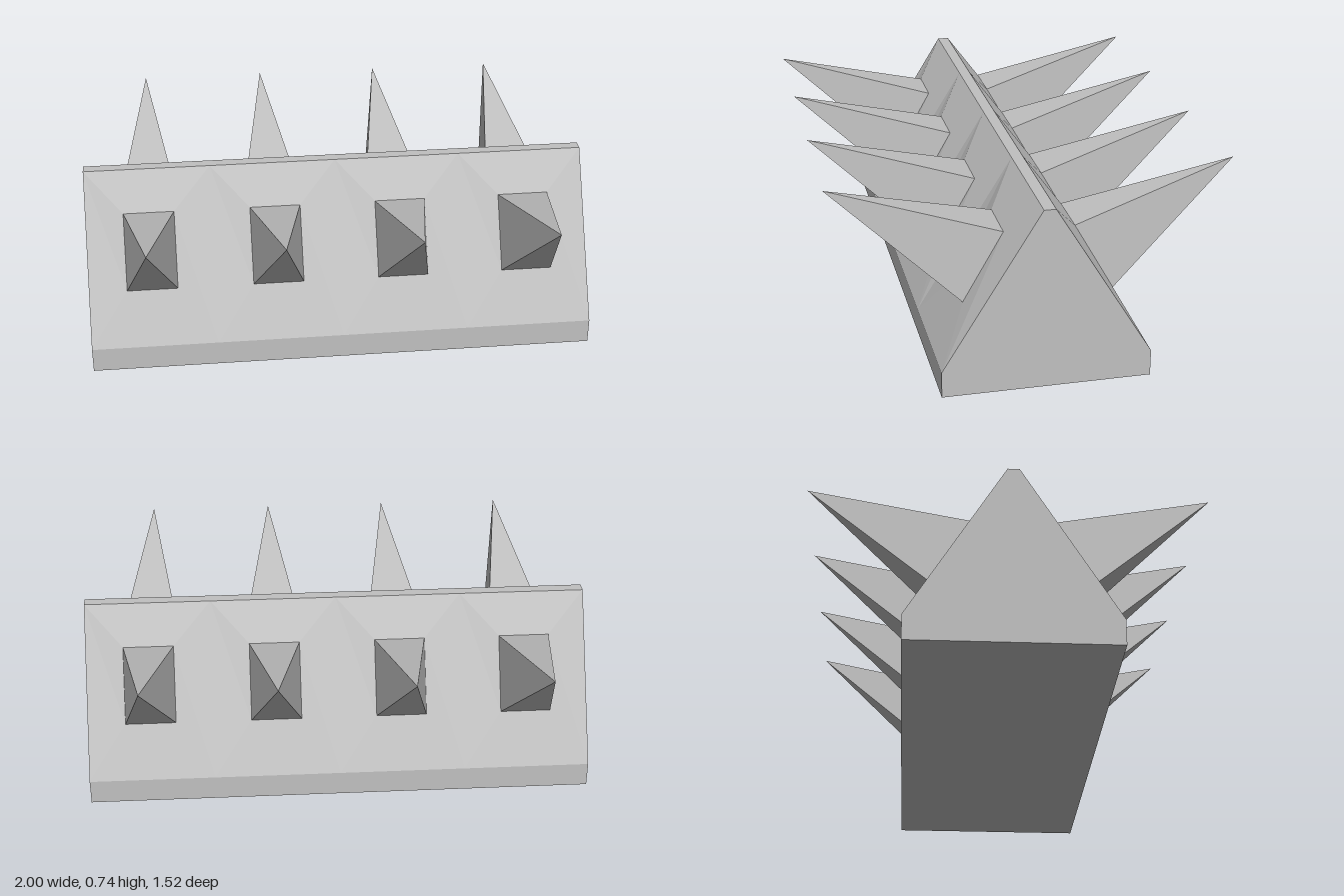
import * as THREE from 'three';

// Flat polygons, each a counter-clockwise list of [x, y, z] corners, split as fans
function polygons(faces) {
  const pos = [];
  for (const f of faces)
    for (let i = 1; i < f.length - 1; i++) pos.push(...f[0], ...f[i], ...f[i + 1]);
  const g = new THREE.BufferGeometry();
  g.setAttribute('position', new THREE.Float32BufferAttribute(pos, 3));
  g.computeVertexNormals();
  return g;
}

// Rectangle leaning back: half width, bottom and top height, bottom and top depth
const panel = (x, w, y0, z0, y1, z1) =>
  [[x - w, y0, z0], [x + w, y0, z0], [x + w, y1, z1], [x - w, y1, z1]];

export function createModel() {
  const model = new THREE.Group();
  model.name = 'spikedBarrier';
  const stone = new THREE.MeshStandardMaterial({ color: 0xc0c0c0 });
  stone.name = 'grey stone';

  const D = 0.39, LIP = 0.1, TOP = 0.7, RIDGE = 0.022;

  // Wedge body: base, lips, ridge and end caps
  const end = [[D, 0], [-D, 0], [-D, LIP], [-RIDGE, TOP], [RIDGE, TOP], [D, LIP]];
  const body = new THREE.Mesh(polygons([
    panel(0, 1, 0, -D, 0, D),
    panel(0, 1, TOP, RIDGE, TOP, -RIDGE),
    panel(0, 1, 0, D, LIP, D),
    panel(0, 1, 0, D, LIP, D).map(([x, y, z]) => [-x, y, -z]),
    end.map(([z, y]) => [1, y, z]),
    end.map(([z, y]) => [-1, y, -z]),
  ]), stone);
  body.name = 'body';
  model.add(body);

  // One slope cell swelling towards a spike root, and the spike itself
  const outer = panel(0, 0.25, LIP, D, TOP, RIDGE);
  const root = panel(0, 0.1, 0.297, 0.282, 0.562, 0.132);
  const tip = [0, 0.735, 0.76];
  const ring = [0, 1, 2, 3];
  const slopeGeo = polygons(ring.map(i => {
    const j = (i + 1) % 4;
    return [outer[i], outer[j], root[j], root[i]];
  }));
  const spikeGeo = polygons(ring.map(i => [root[i], root[(i + 1) % 4], tip]));

  // Four cells on the front, and the same turned round on the back
  for (const side of ['front', 'back']) {
    const face = new THREE.Group();
    face.name = side + 'Face';
    if (side === 'back') face.rotation.y = Math.PI;
    for (let n = 0; n < 4; n++) {
      for (const [name, geo] of [['slope', slopeGeo], ['spike', spikeGeo]]) {
        const mesh = new THREE.Mesh(geo, stone);
        mesh.name = name + (n + 1);
        mesh.position.x = -0.75 + n * 0.5;
        face.add(mesh);
      }
    }
    model.add(face);
  }
  return model;
}
